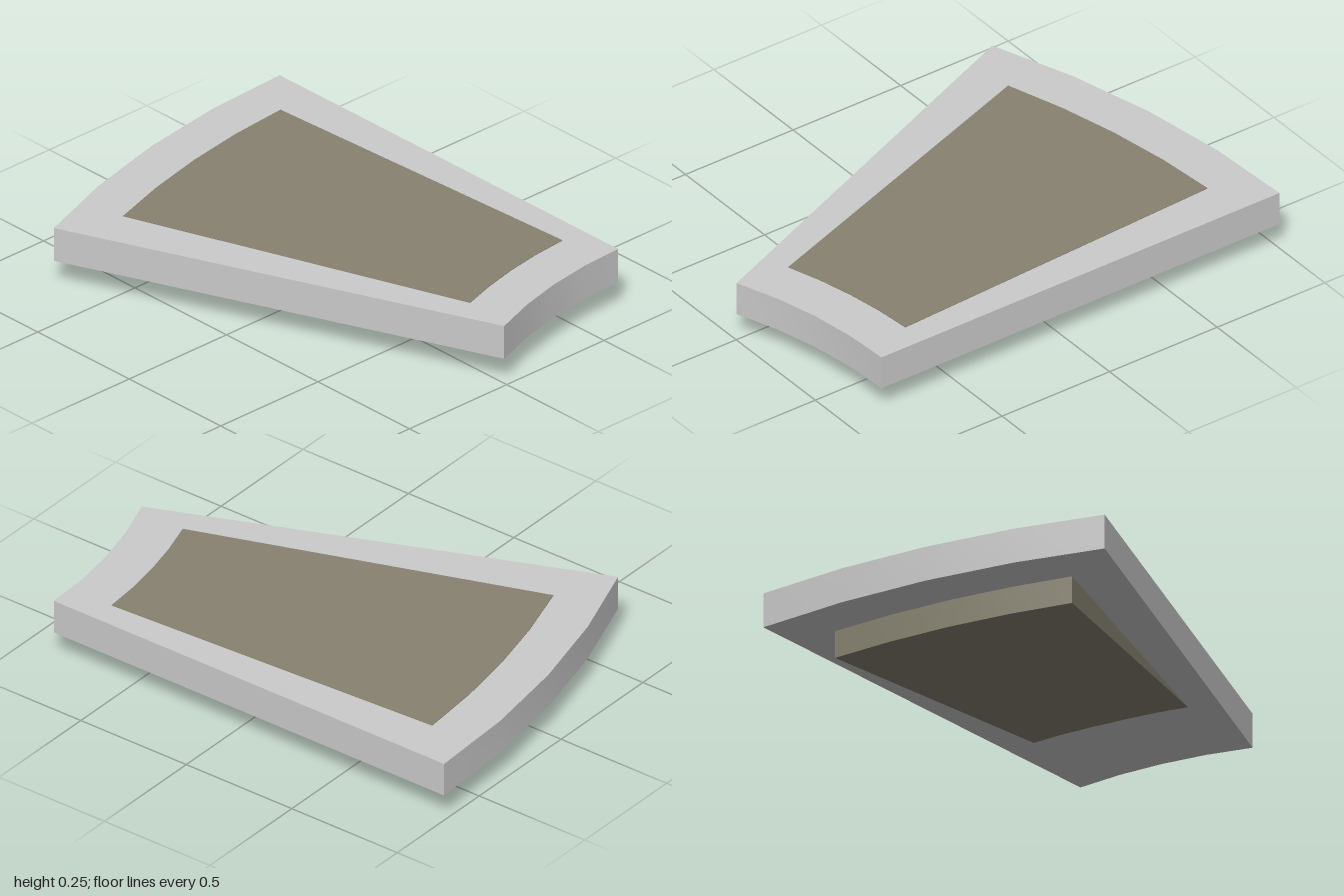
import * as THREE from 'three';
import { toCreasedNormals } from 'three/addons/utils/BufferGeometryUtils.js';

// Shared centre of all the arcs, far in front of the model
const CX = 0.714, CZ = 2.733;
const ARC_STEPS = 4;

// Upright ring segment between two radii and two angles (degrees, towards -x)
function ringSegment(inner, outer, from, to, bottom, top) {
  const point = (r, deg) => {
    const a = THREE.MathUtils.degToRad(deg);
    return new THREE.Vector2(CX - r * Math.sin(a), r * Math.cos(a) - CZ);
  };
  const points = [];
  for (let i = 0; i <= ARC_STEPS; i++) points.push(point(outer, from + (to - from) * i / ARC_STEPS));
  for (let i = ARC_STEPS; i >= 0; i--) points.push(point(inner, from + (to - from) * i / ARC_STEPS));
  const geometry = new THREE.ExtrudeGeometry(new THREE.Shape(points), { depth: top - bottom, bevelEnabled: false });
  return geometry.rotateX(-Math.PI / 2).translate(0, bottom, 0);
}

function addPart(group, name, geometry, color) {
  const mesh = new THREE.Mesh(toCreasedNormals(geometry, 0.3), new THREE.MeshStandardMaterial({ color }));
  mesh.name = name;
  group.add(mesh);
}

export function createModel() {
  const model = new THREE.Group();
  model.name = 'ringSegmentTile';

  // Flat grey frame plate
  addPart(model, 'framePlate', ringSegment(1.883, 3.733, 0, 22.5, 0.11, 0.25), 0xcccccc);

  // Inset panel whose underside rises from the back arc to the front arc
  const inner = 2.076, outer = 3.539;
  const panel = ringSegment(inner, outer, 2.97, 19.42, 0, 0.252);
  const pos = panel.attributes.position;
  for (let i = 0; i < pos.count; i++) {
    if (pos.getY(i) > 0.1) continue;
    const r = Math.hypot(pos.getX(i) - CX, pos.getZ(i) - CZ);
    pos.setY(i, 0.13 * (outer - r) / (outer - inner));
  }
  panel.computeVertexNormals();
  addPart(model, 'wedgePanel', panel, 0x878270);

  return model;
}
